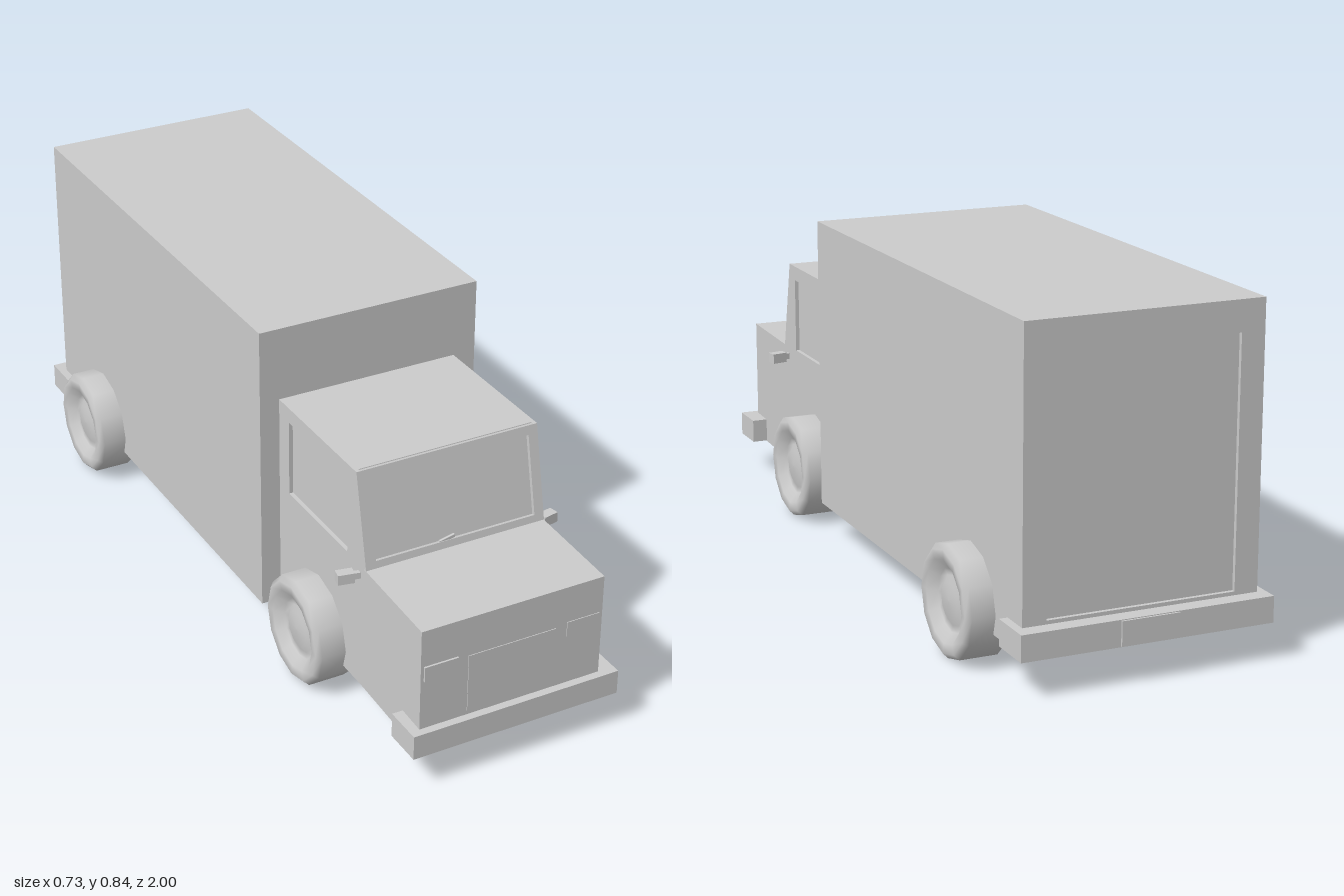
import * as THREE from 'three';

const mat = new THREE.MeshStandardMaterial({ color: 0xcccccc, flatShading: true });
const smooth = new THREE.MeshStandardMaterial({ color: 0xcccccc });

function add(parent, name, geometry, material = mat) {
  const m = new THREE.Mesh(geometry, material);
  m.name = name;
  parent.add(m);
  return m;
}

// Box given by its extents on each axis
function box(parent, name, x0, x1, y0, y1, z0, z1) {
  const g = new THREE.BoxGeometry(x1 - x0, y1 - y0, z1 - z0);
  g.translate((x0 + x1) / 2, (y0 + y1) / 2, (z0 + z1) / 2);
  return add(parent, name, g);
}

// Flat panel from an outline with an optional rectangular opening [x0, x1, y0, y1]
function panel(points, depth, hole) {
  const s = new THREE.Shape(points.map(p => new THREE.Vector2(...p)));
  if (hole) {
    const [a, b, c, d] = hole;
    s.holes.push(new THREE.Path([[a, c], [a, d], [b, d], [b, c]].map(p => new THREE.Vector2(...p))));
  }
  return new THREE.ExtrudeGeometry(s, { depth, bevelEnabled: false });
}
const rect = (a, b, c, d) => [[a, c], [b, c], [b, d], [a, d]];

// Panel drawn in (z, y), spanning x0..x1
function sidePanel(points, x0, x1, hole) {
  return panel(points, x1 - x0, hole).rotateY(-Math.PI / 2).translate(x1, 0, 0);
}

export function createModel() {
  const truck = new THREE.Group();
  truck.name = 'deliveryTruck';

  // Cargo box with a recessed rear door
  const cargo = new THREE.Group();
  cargo.name = 'cargoBox';
  truck.add(cargo);
  box(cargo, 'cargoBody', -0.294, 0.294, 0.09, 0.84, -0.945, 0.28);
  add(cargo, 'rearDoorFrame', panel(rect(-0.294, 0.294, 0.09, 0.84), 0.01, [-0.235, 0.235, 0.165, 0.765]))
    .position.z = -0.955;

  // Cab: inner core forms the glass, thin panels form the frames
  const cab = new THREE.Group();
  cab.name = 'cab';
  truck.add(cab);
  const L = -0.243, R = 0.235, T = 0.01;
  const profile = dz => [[0.28, 0.09], [0.71 - dz, 0.09], [0.71 - dz, 0.417], [0.66 - dz, 0.653], [0.28, 0.653]];
  add(cab, 'cabCore', sidePanel(profile(T), L + T, R - T));
  const sideWindow = [0.33, 0.62, 0.42, 0.615];
  add(cab, 'rightCabSide', sidePanel(profile(0), L, L + T, sideWindow));
  add(cab, 'leftCabSide', sidePanel(profile(0), R - T, R, sideWindow));
  const slope = Math.hypot(0.05, 0.236);
  const frame = panel(rect(L + T, R - T, 0, slope), T, [-0.215, 0.21, 0.018, 0.218]).translate(0, 0, -T);
  const shield = add(cab, 'windshieldFrame', frame.rotateX(-Math.atan2(0.05, 0.236)));
  shield.position.set(0, 0.417, 0.71);
  const wiper = add(cab, 'wiper', new THREE.BoxGeometry(0.04, 0.008, 0.006));
  wiper.position.set(-0.025, 0.436, 0.701);
  wiper.rotation.z = 0.22;

  // Hood, skewed a little sideways toward the nose
  const hood = box(cab, 'hood', L, R, 0.09, 0.417, 0.69, 0.98).geometry.attributes.position;
  for (let i = 0; i < hood.count; i++) if (hood.getZ(i) > 0.9) hood.setX(i, hood.getX(i) - 0.01);
  box(cab, 'rightHeadlight', -0.245, -0.158, 0.283, 0.322, 0.975, 0.985);
  box(cab, 'leftHeadlight', 0.13, 0.217, 0.283, 0.322, 0.975, 0.982);
  box(cab, 'grille', -0.13, 0.1, 0.165, 0.315, 0.975, 0.982);

  // Door mirrors on short stalks
  for (const s of [-1, 1]) {
    const mirror = new THREE.Group();
    mirror.name = s > 0 ? 'leftMirror' : 'rightMirror';
    box(mirror, 'mirrorStalk', -0.01, 0.02, -0.008, 0.008, -0.006, 0.006);
    box(mirror, 'mirrorHead', 0.015, 0.056, -0.013, 0.013, -0.013, 0.013);
    mirror.position.set(s > 0 ? R : L, 0.392, 0.68);
    mirror.rotation.y = s > 0 ? 0.2 : Math.PI - 0.2;
    truck.add(mirror);
  }

  // Bumpers
  box(truck, 'frontBumper', -0.278, 0.268, 0.092, 0.154, 0.9, 1);
  box(truck, 'rearBumper', -0.315, 0.315, 0.092, 0.156, -0.995, -0.88);
  box(truck, 'rearPlate', -0.072, 0.072, 0.094, 0.154, -1, -0.99);

  // Wheels: tyre with a dished rim and raised hub, x = 0 on the inner side
  const tyre = [[0, 0], [0.124, 0], [0.137, 0.015], [0.137, 0.108], [0.124, 0.12], [0.1, 0.118],
    [0.076, 0.098], [0.06, 0.095], [0.045, 0.104], [0, 0.106]].map(p => new THREE.Vector2(...p));
  const wheelGeo = new THREE.LatheGeometry(tyre, 12).rotateZ(-Math.PI / 2);
  for (const [end, z, x] of [['front', 0.48, 0.195], ['rear', -0.68, 0.245]]) {
    for (const s of [-1, 1]) {
      const w = add(truck, end + (s > 0 ? 'Left' : 'Right') + 'Wheel', wheelGeo, smooth);
      w.position.set(s * x - 0.002, 0.137, z);
      w.rotation.y = s > 0 ? 0 : Math.PI;
    }
  }
  return truck;
}
